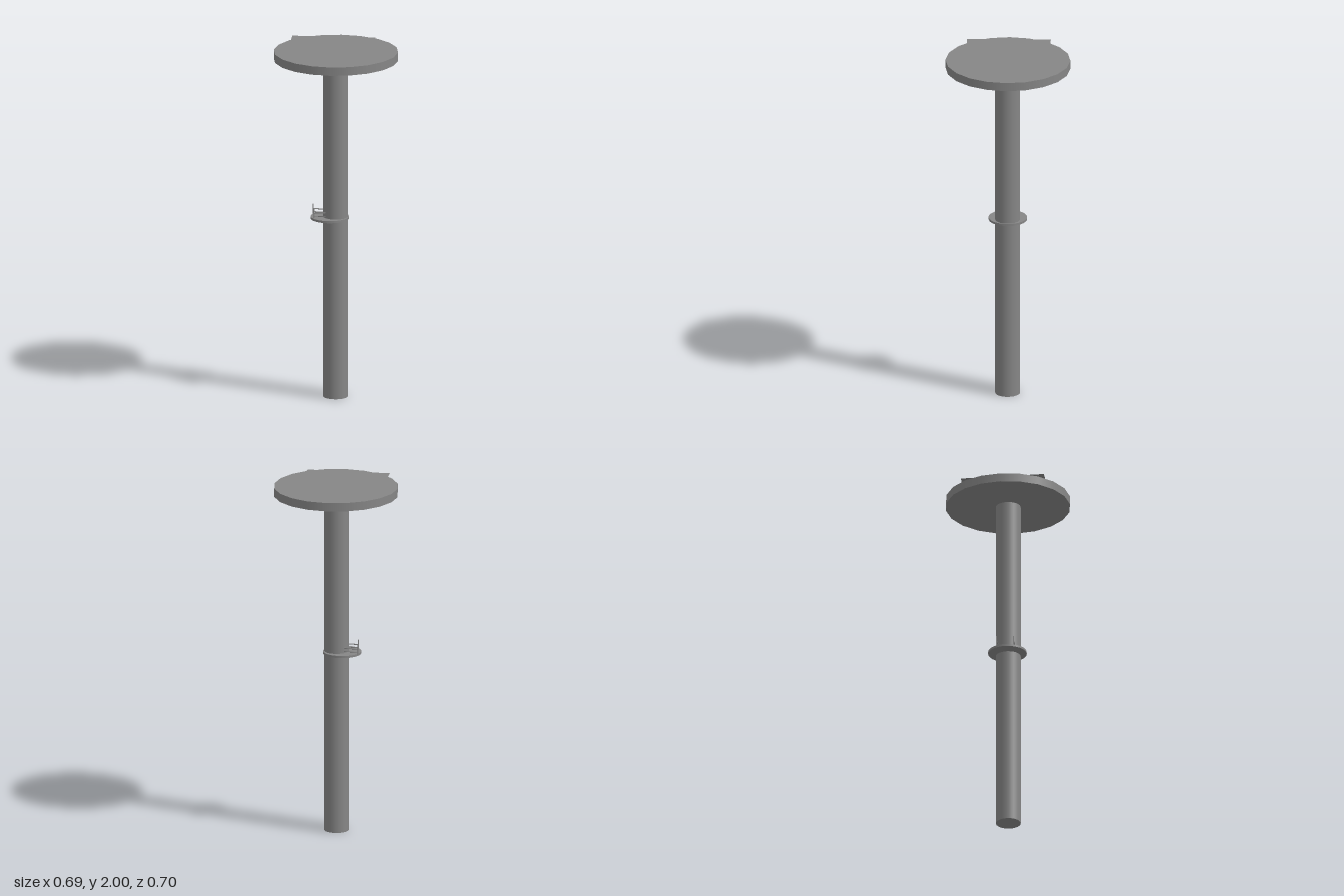
import * as THREE from 'three';

const grey = new THREE.MeshStandardMaterial({ color: 0x868686 });
const thin = new THREE.MeshStandardMaterial({ color: 0x868686, side: THREE.DoubleSide });

// Upright cylinder from y0 to y1
function drum(name, r, y0, y1, x, z, sides) {
  const mesh = new THREE.Mesh(new THREE.CylinderGeometry(r, r, y1 - y0, sides), grey);
  mesh.name = name;
  mesh.position.set(x, (y0 + y1) / 2, z);
  return mesh;
}

// Round bar between two points
function bar(name, a, b, r) {
  const dir = b.clone().sub(a);
  const mesh = new THREE.Mesh(new THREE.CylinderGeometry(r, r, dir.length(), 8), grey);
  mesh.name = name;
  mesh.position.copy(a).add(b).multiplyScalar(0.5);
  mesh.quaternion.setFromUnitVectors(new THREE.Vector3(0, 1, 0), dir.normalize());
  return mesh;
}

export function createModel() {
  const model = new THREE.Group();
  model.name = 'tower';

  // Tall pole
  model.add(drum('pole', 0.069, 0, 1.999, 0.003, -0.003, 32));

  // Twenty-sided disc near the top
  const disc = drum('topDisc', 0.346, 1.932, 1.98, 0.003, -0.006, 20);
  disc.rotation.y = THREE.MathUtils.degToRad(10.1);
  model.add(disc);

  // Thin square sheet lying over the pole's top, corners along the axes
  const sheet = new THREE.Mesh(new THREE.CircleGeometry(0.328, 4).rotateX(-Math.PI / 2), thin);
  sheet.name = 'roofSheet';
  sheet.rotation.y = 0.018;
  sheet.position.set(-0.018, 2, 0.019);
  model.add(sheet);

  // Small off-centre landing halfway up
  model.add(drum('landing', 0.107, 1.02, 1.032, -0.02, 0.02, 32));

  // Two guard rails, each a post on the landing's rim with two rails back to the pole
  const at = ([x, z], y) => new THREE.Vector3(x, y, z);
  const guards = [
    { post: [-0.046, 0.111], pole: [0, 0.062] },
    { post: [-0.123, 0.056], pole: [-0.06, 0] },
  ];
  for (const { post, pole } of guards) {
    const guard = new THREE.Group();
    guard.name = 'guardRail';
    guard.add(bar('railPost', at(post, 1.03), at(post, 1.087), 0.003));
    for (const y of [1.042, 1.06]) guard.add(bar('rail', at(post, y), at(pole, y), 0.003));
    model.add(guard);
  }

  return model;
}
